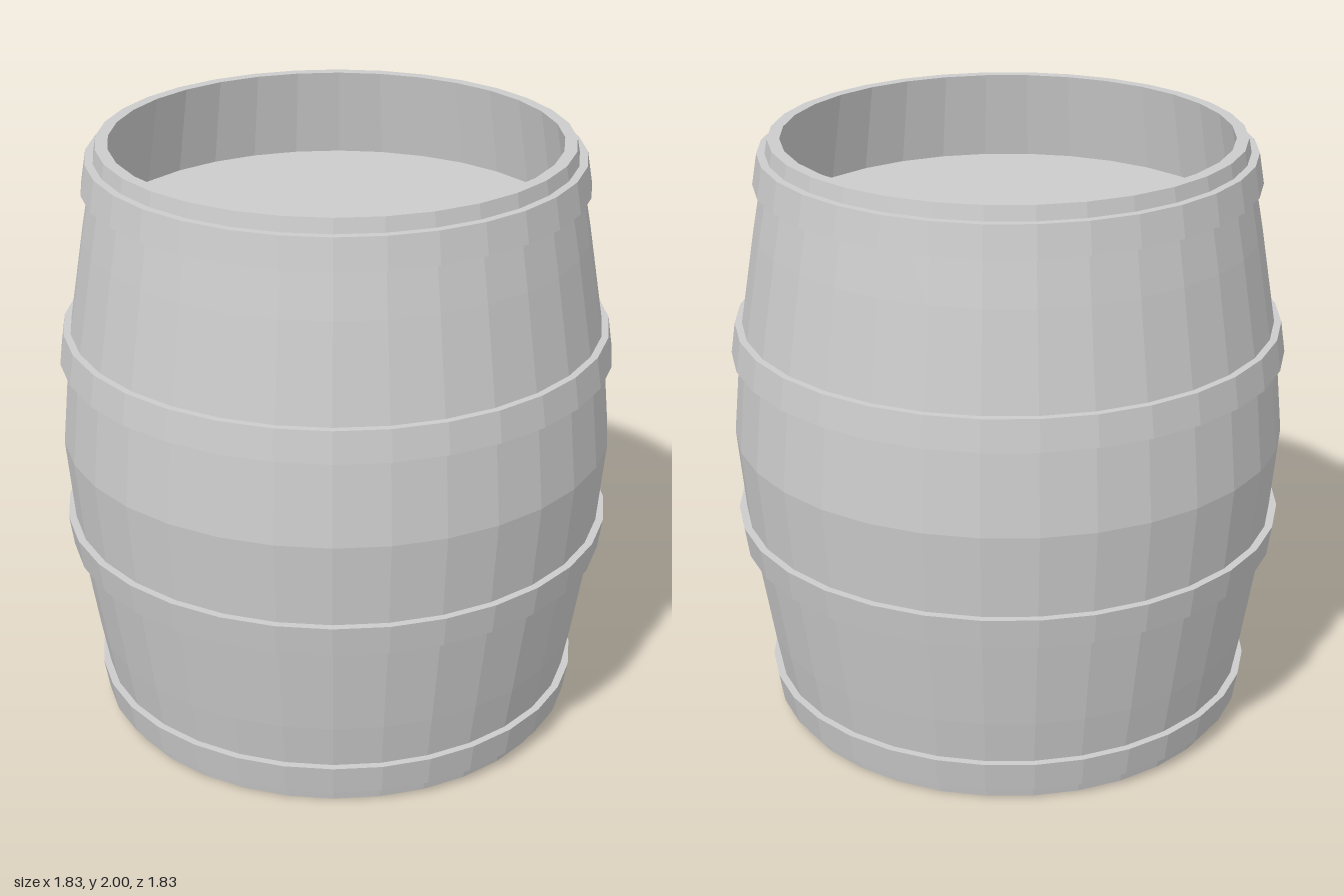
import * as THREE from 'three';

const SIDES = 32;
const material = new THREE.MeshStandardMaterial({ color: 0xcccccc, flatShading: true });

// Turn a list of [radius, y] points around the vertical axis
function turned(name, points) {
  const profile = points.map(([r, y]) => new THREE.Vector2(r, y));
  const mesh = new THREE.Mesh(new THREE.LatheGeometry(profile, SIDES), material);
  mesh.name = name;
  return mesh;
}

export function createModel() {
  const barrel = new THREE.Group();
  barrel.name = 'barrel';

  // Staves: shallow recess below, bulging outside, rim and deep recess above
  barrel.add(turned('staves', [
    [0.73, 0.03], [0.73, 0],
    [0.77, 0], [0.825, 0.3], [0.885, 0.67], [0.915, 1],
    [0.885, 1.33], [0.825, 1.7], [0.77, 2],
    [0.73, 2], [0.78, 1.7],
  ]));

  // Flat heads closing both ends
  const heads = [['topHead', 0.78, 1.7, -1], ['bottomHead', 0.73, 0.03, 1]];
  for (const [name, radius, y, dir] of heads) {
    const head = new THREE.Mesh(new THREE.CircleGeometry(radius, SIDES), material);
    head.name = name;
    head.rotation.x = dir * Math.PI / 2;
    head.position.y = y;
    barrel.add(head);
  }

  // Hoops: tapered bands, mirrored about the middle of the barrel
  const hoops = [
    { name: 'endHoop', y0: 0.047, y1: 0.148, r0: 0.805, r1: 0.822, inner0: 0.775, inner1: 0.793 },
    { name: 'middleHoop', y0: 0.617, y1: 0.72, r0: 0.9, r1: 0.915, inner0: 0.872, inner1: 0.885 },
  ];
  for (const h of hoops) {
    const lower = [[h.inner0, h.y0], [h.r0, h.y0], [h.r1, h.y1], [h.inner1, h.y1]];
    const upper = lower.map(([r, y]) => [r, 2 - y]).reverse();
    barrel.add(turned(h.name + 'Lower', lower), turned(h.name + 'Upper', upper));
  }

  return barrel;
}
